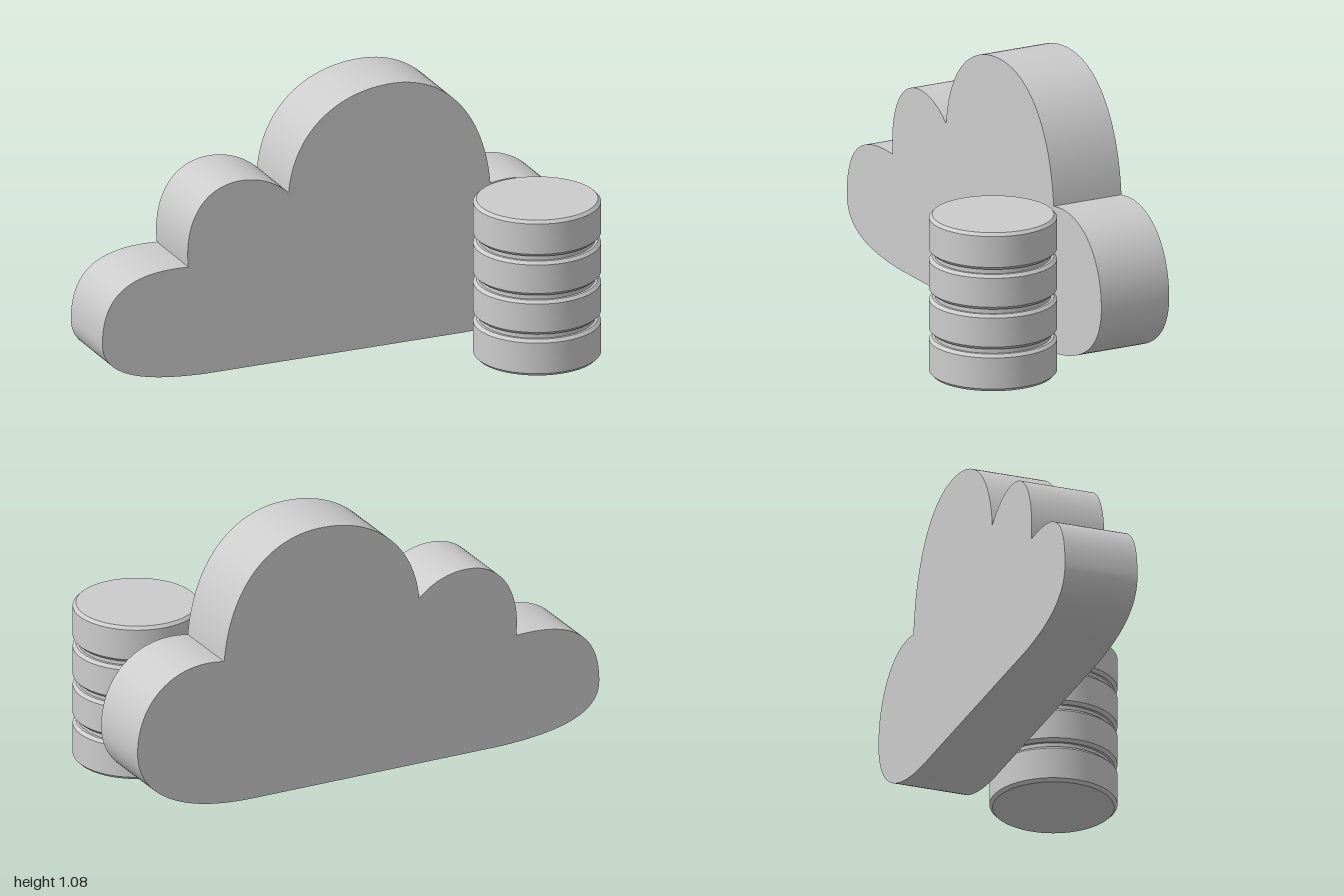
import * as THREE from 'three';
import { toCreasedNormals } from 'three/addons/utils/BufferGeometryUtils.js';

const material = new THREE.MeshStandardMaterial({ color: 0xcccccc });

function makePart(name, geometry, crease) {
  const mesh = new THREE.Mesh(toCreasedNormals(geometry, crease), material);
  mesh.name = name;
  return mesh;
}

// Thick cloud slab: a flat base with four rounded lobes
function makeCloud() {
  const s = new THREE.Shape();
  s.moveTo(-0.57, 0.012);
  s.bezierCurveTo(-0.85, 0.02, -1, 0.07, -1, 0.2);         // lower left corner
  s.bezierCurveTo(-1, 0.4, -0.88, 0.475, -0.64, 0.46);     // far left lobe
  s.bezierCurveTo(-0.66, 0.64, -0.58, 0.78, -0.42, 0.78);  // small lobe
  s.bezierCurveTo(-0.35, 0.78, -0.28, 0.755, -0.22, 0.7);
  s.bezierCurveTo(-0.2, 0.93, -0.03, 1.08, 0.21, 1.08);    // main lobe
  s.bezierCurveTo(0.44, 1.08, 0.6, 0.9, 0.625, 0.607);
  s.bezierCurveTo(0.85, 0.65, 1, 0.5, 1, 0.3);             // right lobe
  s.bezierCurveTo(1, 0.12, 0.82, 0.012, 0.5, 0.012);       // lower right corner
  s.closePath();
  const geometry = new THREE.ExtrudeGeometry(s, { depth: 0.297, bevelEnabled: false, curveSegments: 28 });
  geometry.translate(0, 0, -0.42);
  return makePart('cloud', geometry, 0.6);
}

// Stack of four chamfered discs separated by narrow grooves
function makeDiscStack() {
  const radius = 0.245, chamfer = 0.012, grooveRadius = 0.223;
  const discs = [[0.003, 0.152], [0.172, 0.312], [0.332, 0.472], [0.492, 0.64]];
  const profile = [new THREE.Vector2(0, discs[0][0])];
  discs.forEach(([bottom, top], i) => {
    if (i > 0) profile.push(new THREE.Vector2(grooveRadius, bottom));
    profile.push(
      new THREE.Vector2(radius - chamfer, bottom),
      new THREE.Vector2(radius, bottom + chamfer),
      new THREE.Vector2(radius, top - chamfer),
      new THREE.Vector2(radius - chamfer, top)
    );
    if (i < discs.length - 1) profile.push(new THREE.Vector2(grooveRadius, top));
  });
  profile.push(new THREE.Vector2(0, discs[3][1]));
  const mesh = makePart('discStack', new THREE.LatheGeometry(profile, 72), 0.4);
  mesh.position.set(0.687, 0, 0.177);
  return mesh;
}

export function createModel() {
  const model = new THREE.Group();
  model.name = 'cloudStorage';
  model.add(makeCloud(), makeDiscStack());
  return model;
}
